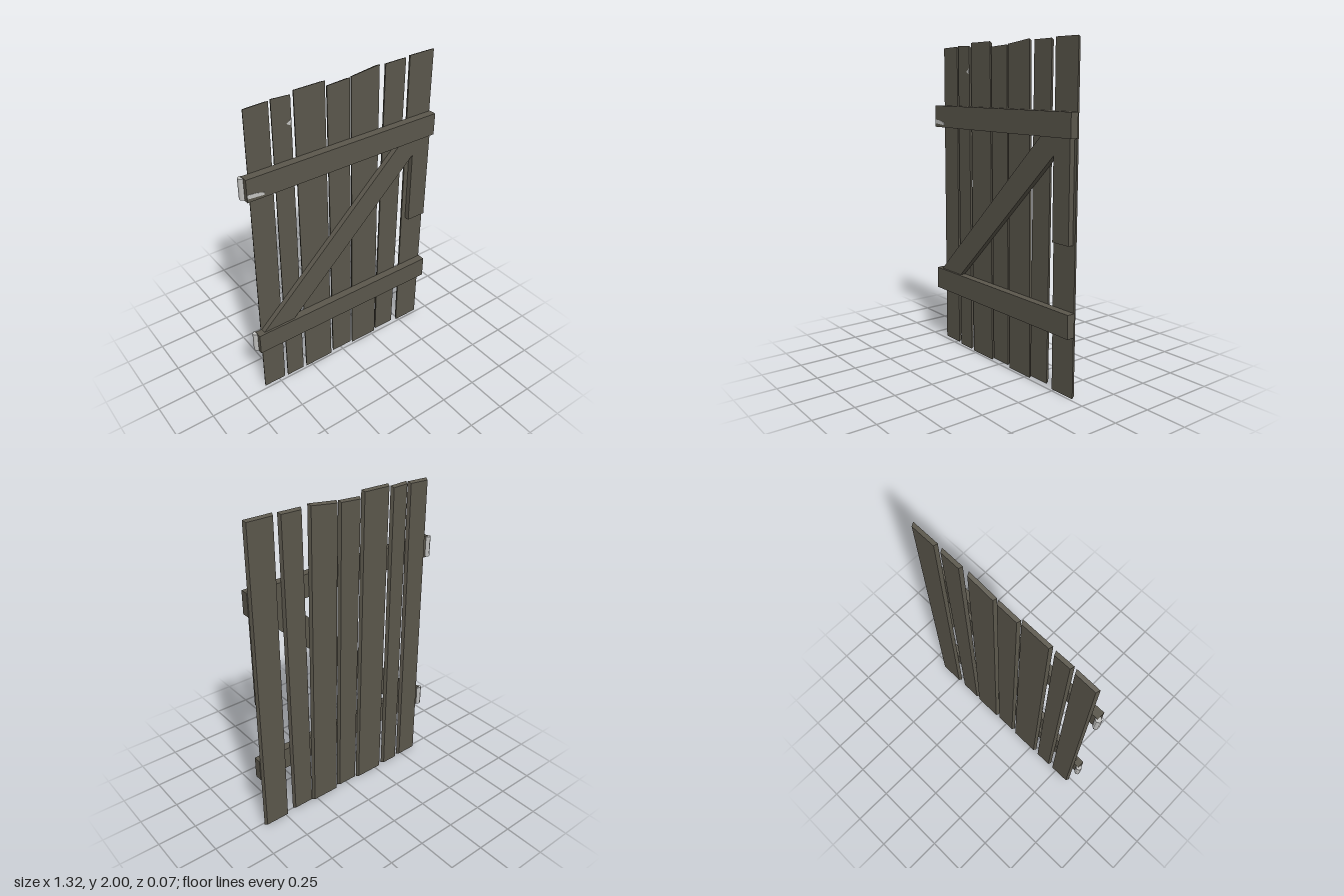
import * as THREE from 'three';

const wood = new THREE.MeshStandardMaterial({ color: 0x5b574c });
wood.name = 'weathered wood';
const metal = new THREE.MeshStandardMaterial({ color: 0xc4c4c2 });
metal.name = 'pale metal';

// Flat board cut from an outline in the xy plane, from z0 to z1
function board(name, points, z0, z1, material = wood) {
  const shape = new THREE.Shape(points.map(([x, y]) => new THREE.Vector2(x, y)));
  const geometry = new THREE.ExtrudeGeometry(shape, { depth: z1 - z0, bevelEnabled: false });
  geometry.translate(0, 0, z0);
  const mesh = new THREE.Mesh(geometry, material);
  mesh.name = name;
  return mesh;
}

const rect = (x0, x1, y0, y1) => [[x0, y0], [x1, y0], [x1, y1], [x0, y1]];

// Plank whose rear face is slightly smaller, so that its edges slope
function plank(name, points) {
  const mesh = board(name, points, -0.035, -0.014);
  const p = mesh.geometry.attributes.position;
  const cx = points.reduce((sum, q) => sum + q[0], 0) / 4;
  for (let i = 0; i < p.count; i++) {
    if (p.getZ(i) > -0.03) continue;
    p.setX(i, p.getX(i) - 0.009 * Math.sign(p.getX(i) - cx));
    p.setY(i, p.getY(i) - 0.009 * Math.sign(p.getY(i) - 1));
  }
  mesh.geometry.computeVertexNormals();
  return mesh;
}

export function createModel() {
  const gate = new THREE.Group();
  gate.name = 'plankGate';

  // Uneven upright planks: bottom left x, right x, y; top left x, right x, left y, right y
  [
    [-0.612, -0.461, 0.01, -0.604, -0.455, 1.975, 1.98],
    [-0.439, -0.315, 0.004, -0.442, -0.323, 1.985, 1.98],
    [-0.291, -0.088, 0, -0.304, -0.107, 1.998, 2],
    [-0.072, 0.076, 0.016, -0.095, 0.057, 1.967, 1.975],
    [0.09, 0.285, 0.002, 0.066, 0.259, 1.978, 2],
    [0.291, 0.438, 0.018, 0.302, 0.448, 1.993, 1.995],
    [0.483, 0.656, 0.002, 0.478, 0.655, 2, 2],
  ].forEach(([bl, br, by, tl, tr, tly, try_], i) => {
    gate.add(plank('plank' + (i + 1), [[bl, by], [br, by], [tr, try_], [tl, tly]]));
  });

  // Cross rails, each with a hinge barrel at its right end
  [['lower', 0.365], ['upper', 1.467]].forEach(([level, y]) => {
    gate.add(board(level + 'Rail', rect(-0.645, 0.66, y, y + 0.14), -0.015, 0.035));
    const hinge = new THREE.Mesh(new THREE.CylinderGeometry(0.0195, 0.0195, 0.13, 6), metal);
    hinge.name = level + 'Hinge';
    hinge.position.set(-0.648, y + 0.07, -0.011);
    gate.add(hinge);
  });

  // Diagonal brace and the short upright it meets
  gate.add(board('diagonalBrace', [
    [-0.603, 0.505], [-0.387, 0.505], [0.51, 1.365], [0.51, 1.467], [0.402, 1.467],
  ], -0.012, 0.021));
  gate.add(board('latchBoard', rect(0.51, 0.64, 0.885, 1.467), -0.012, 0.021));

  // Small worn flecks
  gate.add(board('railFleck', [
    [-0.642, 1.49], [-0.54, 1.482], [-0.54, 1.497], [-0.585, 1.51], [-0.642, 1.515],
  ], 0.035, 0.0365, metal));
  gate.add(board('plankFleck', [
    [-0.355, 1.822], [-0.33, 1.808], [-0.325, 1.842],
  ], -0.014, -0.0125, metal));
  return gate;
}
